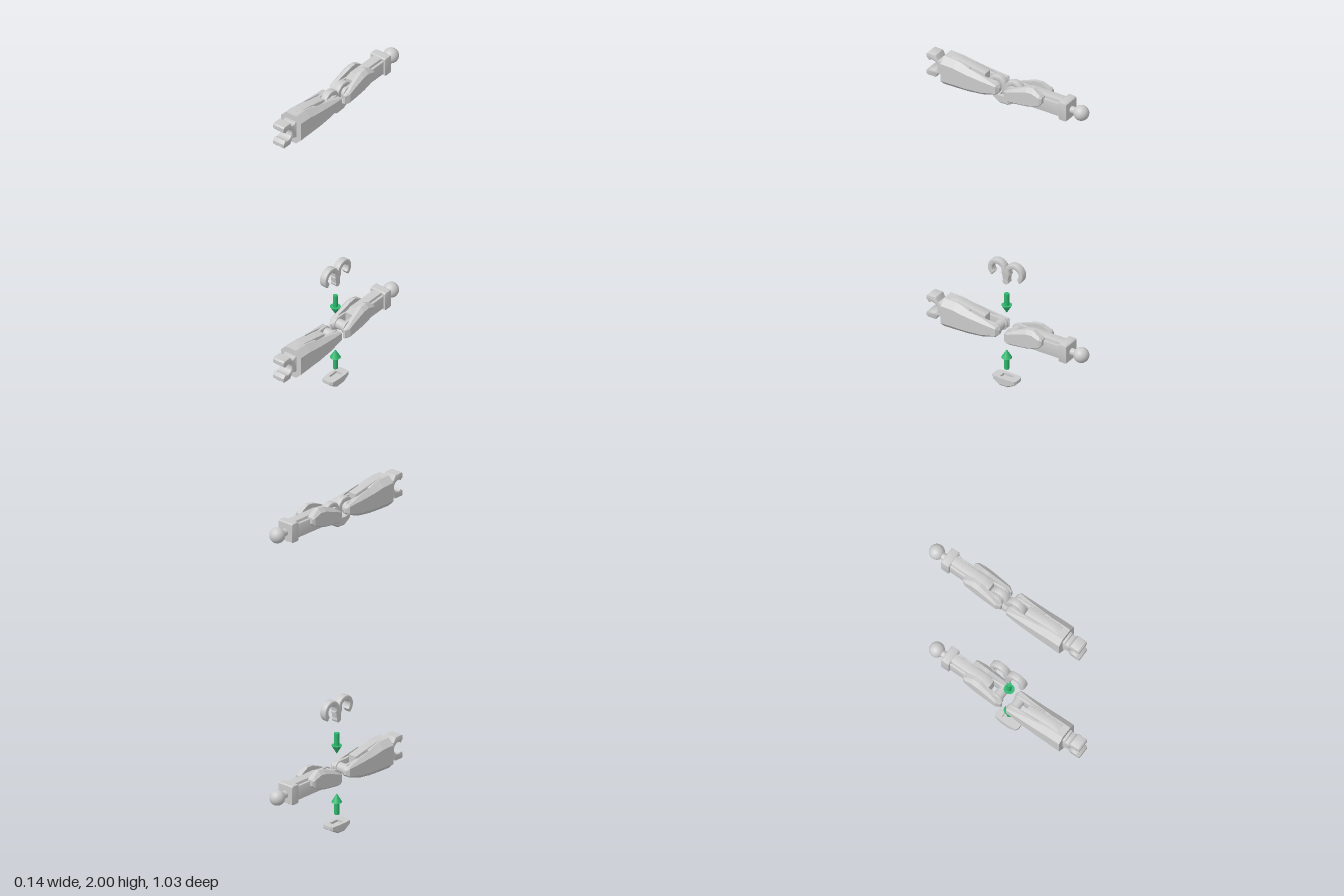
import * as THREE from 'three';
import { toCreasedNormals } from 'three/addons/utils/BufferGeometryUtils.js';

const grey = new THREE.MeshStandardMaterial({ color: 0xcccccc });
const green = new THREE.MeshStandardMaterial({ color: 0x2fb870 });
const MID = 0.355; // height of the arm's axis
const PIN_FRONT = 0.068, PIN_BACK = -0.042;

function add(parent, name, geometry, material = grey) {
  const mesh = new THREE.Mesh(geometry, material);
  mesh.name = name;
  parent.add(mesh);
  return mesh;
}

const polygon = (pts) => new THREE.Shape(pts.map(([a, b]) => new THREE.Vector2(a, b)));

// Extrude a (z, y) side profile across x from x0 to x1
function slab(shape, x0, x1, bevel = 0.004) {
  const g = new THREE.ExtrudeGeometry(shape, {
    depth: x1 - x0 - 2 * bevel, curveSegments: 20, bevelEnabled: bevel > 0,
    bevelThickness: bevel, bevelSize: bevel, bevelOffset: -bevel, bevelSegments: 2,
  });
  g.rotateY(-Math.PI / 2).translate(x1 - bevel, 0, 0);
  return toCreasedNormals(g, 0.5);
}

// Skin convex counter-clockwise (x, y) sections, ordered by rising z
function loft(sections) {
  const v = [], n = sections[0].pts.length;
  const P = (i, j) => [...sections[i].pts[j % n], sections[i].z];
  const tri = (...c) => c.forEach((p) => v.push(...p));
  const last = sections.length - 1;
  for (let i = 0; i < last; i++) {
    for (let j = 0; j < n; j++) {
      tri(P(i, j), P(i, j + 1), P(i + 1, j + 1));
      tri(P(i, j), P(i + 1, j + 1), P(i + 1, j));
    }
  }
  for (let j = 1; j < n - 1; j++) {
    tri(P(0, 0), P(0, j + 1), P(0, j));
    tri(P(last, 0), P(last, j), P(last, j + 1));
  }
  const g = new THREE.BufferGeometry();
  g.setAttribute('position', new THREE.Float32BufferAttribute(v, 3));
  g.computeVertexNormals();
  return g;
}

// Half-shell armour; rows are [z, inner x, outer x, bottom, top, bottom chamfer, top chamfer]
function armour(rows, side) {
  return loft(rows.map(([z, xi, xo, yb, yt, cb, ct]) => {
    const pts = [[xi, yb], [xo - cb, yb], [xo, yb + cb], [xo, yt - ct], [xo - ct, yt], [xi, yt]];
    return { z, pts: side > 0 ? pts : pts.map(([x, y]) => [-x, y]).reverse() };
  }));
}

function rod(r, length, axis) {
  const g = new THREE.CylinderGeometry(r, r, length, 28);
  return axis === 'x' ? g.rotateZ(Math.PI / 2) : g.rotateX(Math.PI / 2);
}

function makeForearm() {
  const arm = new THREE.Group();
  arm.name = 'forearm';
  const rows = [
    [0.03, 0.04, 0.052, 0.34, 0.366, 0.004, 0.004],
    [0.045, 0.04, 0.07, 0.326, 0.383, 0.008, 0.006],
    [0.14, 0.04, 0.07, 0.29, 0.402, 0.02, 0.02],
    [0.235, 0.04, 0.07, 0.272, 0.418, 0.028, 0.028],
  ];
  const rear = [
    [0.235, 0.02, 0.07, 0.272, 0.418, 0.028, 0.028],
    [0.28, 0.02, 0.07, 0.267, 0.43, 0.032, 0.034],
    [0.32, 0.0, 0.07, 0.263, 0.438, 0.035, 0.035],
    [0.402, 0.0, 0.07, 0.26, 0.44, 0.035, 0.035],
  ];
  // Inner cheeks rounded around the front pin
  const cheek = new THREE.Shape();
  cheek.moveTo(0.25, 0.285);
  cheek.lineTo(0.25, 0.4);
  cheek.lineTo(0.12, 0.392);
  cheek.absarc(PIN_FRONT, MID, 0.037, Math.PI / 2, Math.PI * 1.5, false);
  cheek.lineTo(0.12, 0.305);
  for (const s of [1, -1]) {
    add(arm, 'forearmSidePlate', armour(rows, s));
    add(arm, 'forearmShell', armour(rear, s));
    add(arm, 'forearmCheek', slab(cheek, s > 0 ? 0.024 : -0.041, s > 0 ? 0.041 : -0.024, 0.003));
  }
  add(arm, 'forearmCore', slab(polygon([
    [0.14, 0.298], [0.24, 0.274], [0.36, 0.266], [0.36, 0.44], [0.31, 0.44], [0.14, 0.408],
  ]), -0.027, 0.027));
  add(arm, 'frontPin', rod(0.029, 0.07, 'x')).position.set(0, MID, PIN_FRONT);

  // Open jaw at the front end
  const jaw = new THREE.Shape();
  const c = 0.476, r = 0.033, a = 0.85;
  const half = [[0.39, 0.05], [0.415, 0.05], [0.42, 0.042], [0.44, 0.042], [0.455, 0.07],
    [0.507, 0.07], [0.515, 0.062], [0.515, 0.042]];
  half.forEach(([z, d], i) => (i ? jaw.lineTo(z, MID - d) : jaw.moveTo(z, MID - d)));
  jaw.lineTo(c + r * Math.cos(a), MID - r * Math.sin(a));
  jaw.absarc(c, MID, r, -a, a, true);
  half.slice().reverse().forEach(([z, d]) => jaw.lineTo(z, MID + d));
  add(arm, 'jawClip', slab(jaw, -0.039, 0.039, 0.005));
  return arm;
}

function makeUpperArm() {
  const arm = new THREE.Group();
  arm.name = 'upperArm';
  const rows = [
    [-0.252, 0.026, 0.062, 0.366, 0.402, 0.006, 0.008],
    [-0.238, 0.026, 0.07, 0.35, 0.412, 0.006, 0.012],
    [-0.19, 0.026, 0.07, 0.33, 0.438, 0.008, 0.022],
    [-0.15, 0.026, 0.07, 0.318, 0.434, 0.01, 0.022],
    [-0.06, 0.038, 0.07, 0.305, 0.395, 0.012, 0.014],
    [-0.03, 0.04, 0.07, 0.303, 0.378, 0.012, 0.01],
    [-0.003, 0.04, 0.055, 0.307, 0.362, 0.006, 0.004],
  ];
  // Lower rail with a rounded end around the rear pin
  const rail = new THREE.Shape();
  rail.moveTo(-0.37, 0.312);
  rail.lineTo(-0.06, 0.31);
  rail.absarc(PIN_BACK, MID, 0.037, -Math.PI / 2, Math.PI / 2, false);
  rail.lineTo(-0.37, 0.394);
  for (const s of [1, -1]) {
    add(arm, 'upperArmArmour', armour(rows, s));
    add(arm, 'upperArmRail', slab(rail, s > 0 ? 0.024 : -0.041, s > 0 ? 0.041 : -0.024, 0.003));
  }
  add(arm, 'upperArmCore', slab(polygon([
    [-0.4, 0.302], [-0.105, 0.302], [-0.105, 0.395], [-0.15, 0.41], [-0.4, 0.41],
  ]), -0.027, 0.027));
  add(arm, 'collar', slab(polygon([
    [-0.408, 0.305], [-0.4, 0.3], [-0.362, 0.3], [-0.355, 0.305],
    [-0.355, 0.408], [-0.362, 0.413], [-0.4, 0.413], [-0.408, 0.408],
  ]), -0.052, 0.052));
  add(arm, 'rearPin', rod(0.029, 0.07, 'x')).position.set(0, MID, PIN_BACK);
  add(arm, 'ballNeck', rod(0.021, 0.07, 'z')).position.set(0, MID, -0.42);
  add(arm, 'shoulderBall', new THREE.SphereGeometry(0.044, 36, 24)).position.set(0, MID, -0.472);
  return arm;
}

// Twin C-shaped clips joined over a small stem, centred on the arm's axis
function makeLink() {
  const link = new THREE.Group();
  link.name = 'elbowLink';
  for (const [z, s] of [[PIN_FRONT, 1], [PIN_BACK, -1]]) {
    const a0 = s > 0 ? -0.95 : -0.55;
    const a1 = Math.PI + (s > 0 ? 0.55 : 0.95);
    const ring = new THREE.Shape();
    ring.absarc(z, MID, 0.06, a0, a1, false);
    ring.absarc(z, MID, 0.031, a1, a0, true);
    add(link, 'linkClip', slab(ring, -0.021, 0.021, 0.007));
  }
  add(link, 'linkStem', slab(polygon([
    [-0.002, 0.295], [0.028, 0.295], [0.04, 0.36], [-0.014, 0.36],
  ]), -0.018, 0.018, 0.003));
  add(link, 'stemFoot', rod(0.018, 0.036, 'x')).position.set(0, 0.292, 0.013);
  return link;
}

// Elbow cap: a tapered hull under a rim with a slot for the stem
function makeCap() {
  const cap = new THREE.Group();
  cap.name = 'elbowCap';
  const rows = [[-0.063, 0.022, 0.034], [-0.055, 0.036, 0.028], [-0.01, 0.04, 0.002],
    [0.04, 0.04, 0], [0.082, 0.036, 0.028], [0.092, 0.022, 0.034]];
  add(cap, 'capHull', loft(rows.map(([z, x, y]) => {
    const c = Math.min(0.012, (0.04 - y) * 0.45);
    return { z, pts: [[c - x, y], [x - c, y], [x, y + c], [x, 0.04], [-x, 0.04], [-x, y + c]] };
  })));
  const rim = polygon(rows.map(([z, x]) => [x, -z])
    .concat(rows.slice().reverse().map(([z, x]) => [-x, -z])));
  rim.holes.push(new THREE.Path([[-0.02, -0.045], [0.02, -0.045], [0.02, 0.02], [-0.02, 0.02]]
    .map(([x, y]) => new THREE.Vector2(x, y))));
  const g = new THREE.ExtrudeGeometry(rim, { depth: 0.013, bevelEnabled: false });
  add(cap, 'capRim', g.rotateX(-Math.PI / 2).translate(0, 0.04, 0));
  return cap;
}

function makeArrow() {
  const arrow = new THREE.Group();
  arrow.name = 'assemblyArrow';
  add(arrow, 'arrowShaft', new THREE.CylinderGeometry(0.014, 0.014, 0.075, 24), green).position.y = 0.0375;
  add(arrow, 'arrowHead', new THREE.ConeGeometry(0.03, 0.05, 24), green).position.y = 0.098;
  return arrow;
}

export function createModel() {
  const model = new THREE.Group();
  model.name = 'armAssembly';
  const place = (part, y) => { part.position.y = y; model.add(part); return part; };

  // Exploded set below, assembled set above
  for (const [armY, linkY, capY] of [[0, 0.378, 0], [1.56, 1.56, 1.82]]) {
    place(makeForearm(), armY);
    place(makeUpperArm(), armY);
    place(makeLink(), linkY);
    place(makeCap(), capY);
  }

  // Arrows pointing at the joint
  place(makeArrow(), 0.1).position.z = 0.015;
  const down = place(makeArrow(), 0.583);
  down.position.z = 0.015;
  down.rotation.x = Math.PI;
  return model;
}
